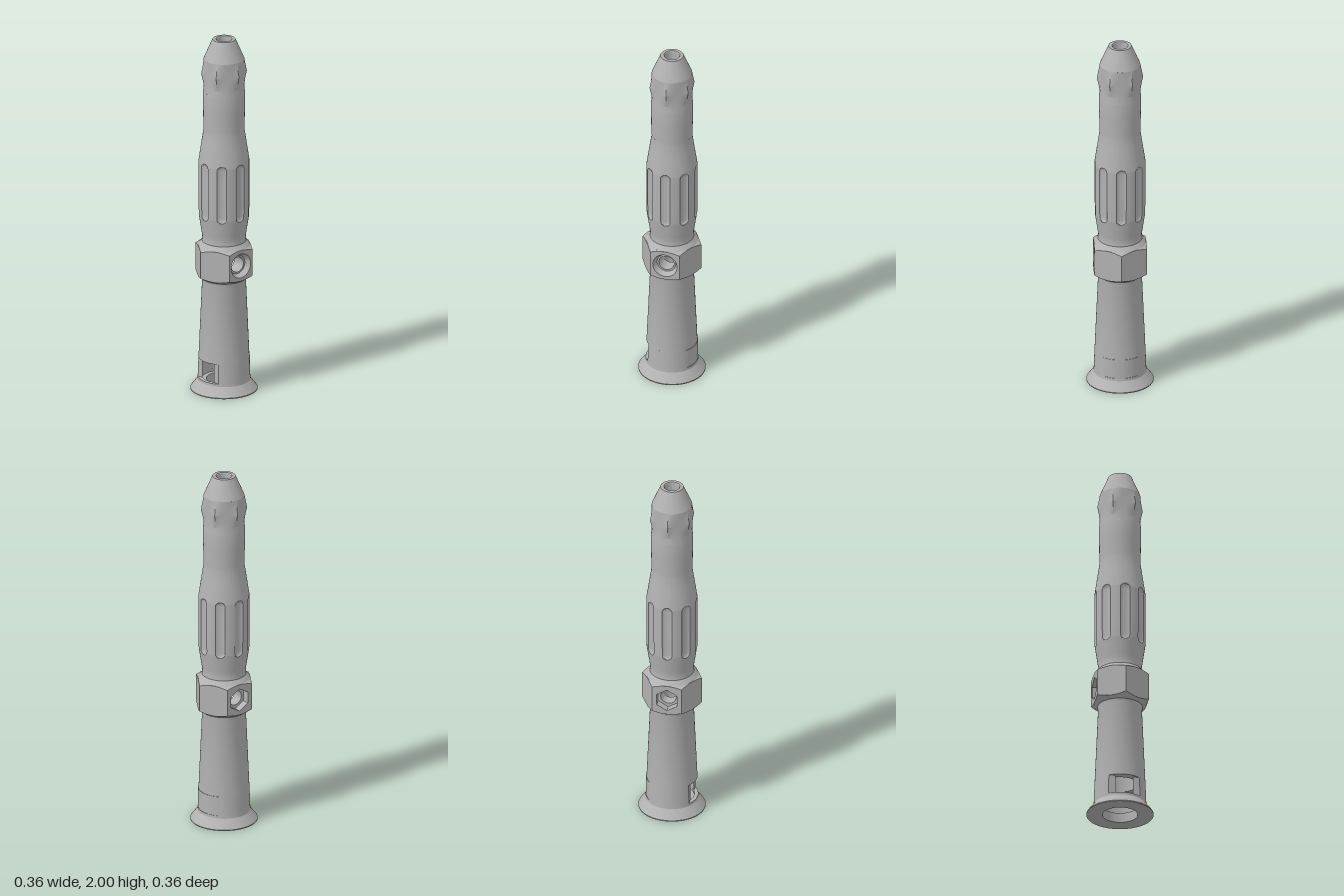
import * as THREE from 'three';
import { toCreasedNormals } from 'three/addons/utils/BufferGeometryUtils.js';

const TAU = Math.PI * 2;
const APOTHEM = 0.1415; // hex collar, flats on +-x
const BORE = 0.041;
const HOLE_Y = 0.737;

// distance from the axis to a hexagon outline with flats at 30 degrees + 60k
function hexRadius(angle, apothem) {
  const a = ((angle % (TAU / 6)) + TAU / 6) % (TAU / 6);
  return apothem / Math.cos(a - Math.PI / 6);
}

// closed band around the y axis; at(angle, row) returns [radius, y], rows run upwards
function band(angles, rows, at) {
  const pos = [], index = [], n = angles.length;
  rows.forEach(row => angles.forEach(t => {
    const [r, y] = at(t, row);
    pos.push(r * Math.sin(t), y, r * Math.cos(t));
  }));
  for (let j = 0; j < rows.length - 1; j++) {
    for (let i = 0; i < n; i++) {
      const a = j * n + i, b = j * n + (i + 1) % n;
      index.push(a, b, b + n, a, b + n, a + n);
    }
  }
  const g = new THREE.BufferGeometry();
  g.setAttribute('position', new THREE.Float32BufferAttribute(pos, 3));
  g.setIndex(index);
  return g;
}

function lathe(points, segments = 64, start = 0, length = TAU) {
  return new THREE.LatheGeometry(points.map(p => new THREE.Vector2(...p)), segments, start, length);
}

// angles made of equal sectors, each with the same offsets
function sectors(count, offsets) {
  const out = [];
  for (let k = 0; k < count; k++) offsets.forEach(o => out.push(k * TAU / count + o));
  return out;
}

export function createModel() {
  const group = new THREE.Group();
  const grey = new THREE.MeshStandardMaterial({ color: 0xb2b2b2 });
  grey.name = 'grey';
  const add = (name, geometry, crease = 0.45) => {
    const m = new THREE.Mesh(toCreasedNormals(geometry, crease), grey);
    m.name = name;
    group.add(m);
    return m;
  };

  // flared foot with a round opening
  add('foot', lathe([[0.12, 0.07], [0.12, 0.055], [0.095, 0.055], [0.095, 0], [0.181, 0],
    [0.181, 0.005], [0.1425, 0.055], [0.1415, 0.07], [0.12, 0.07]]));

  // wall around the front slot: a tapered ring cut flat at z = 0.11
  const cut = 0.11, outer = 0.1393, inner = 0.12;
  const ao = Math.asin(cut / outer), ai = Math.asin(cut / inner);
  const ring = new THREE.Shape();
  ring.absarc(0, 0, outer, Math.PI - ao, TAU + ao, false);
  ring.absarc(0, 0, inner, TAU + ai, Math.PI - ai, true);
  const wall = new THREE.ExtrudeGeometry(ring, { depth: 0.11, bevelEnabled: false, curveSegments: 48 });
  wall.scale(1, -1, 1);          // mirrored here, then turned upright
  wall.rotateX(Math.PI / 2);
  wall.scale(1, -1, 1);
  wall.translate(0, 0.18, 0);
  wall.computeBoundingBox();
  wall.translate(0, 0.07 - wall.boundingBox.min.y, 0);
  const p = wall.attributes.position;
  for (let i = 0; i < p.count; i++) {
    const x = p.getX(i), z = p.getZ(i);
    if (Math.hypot(x, z) > 0.13 && z < cut - 0.001) {
      const s = (0.1415 - (p.getY(i) - 0.07) * 0.041) / outer;
      p.setX(i, x * s);
      p.setZ(i, z * s);
    }
  }
  // the cut-out must face the front (+z)
  let frontMost = -1;
  for (let i = 0; i < p.count; i++) frontMost = Math.max(frontMost, p.getZ(i));
  if (frontMost > cut + 0.01) wall.rotateY(Math.PI);
  add('slotWall', wall).material = grey;

  // tapered lower tube with its inner chamber
  add('lowerTube', lathe([[BORE, HOLE_Y - 0.042], [BORE, 0.55], [0.095, 0.55], [0.095, 0.18],
    [0.137, 0.18], [0.118, 0.62], [0.122, 0.637], [0.14, 0.65]]));

  // hex collar: six faces, two of them pierced by the cross hole
  const bottom = 0.65, top = 0.825, bevel = 0.6;
  for (let k = 0; k < 6; k++) {
    const edge = [];
    for (let d = -30; d <= 30; d += 5) {
      const f = d * Math.PI / 180;
      edge.push([APOTHEM * Math.tan(f), (APOTHEM / Math.cos(f) - APOTHEM) * bevel]);
    }
    const pts = edge.map(([s, h]) => new THREE.Vector2(s, bottom + h));
    edge.reverse().forEach(([s, h]) => pts.push(new THREE.Vector2(s, top - h)));
    const shape = new THREE.Shape(pts);
    if (k === 1 || k === 4) {
      const n = k === 1 ? 48 : 6, r = k === 1 ? 0.068 : 0.064, hole = [];
      for (let i = 0; i < n; i++) {
        const t = Math.PI / 2 - i * TAU / n;
        hole.push(new THREE.Vector2(r * Math.cos(t), HOLE_Y + r * Math.sin(t)));
      }
      shape.holes.push(new THREE.Path(hole));
    }
    const face = new THREE.ShapeGeometry(shape);
    face.translate(0, 0, APOTHEM);
    face.rotateY(Math.PI / 6 + k * TAU / 6);
    add('collarFace', face);
  }
  const hexAngles = sectors(6, Array.from({ length: 12 }, (_, i) => i * Math.PI / 36));
  const rise = t => (hexRadius(t, APOTHEM) - APOTHEM) * bevel;
  add('collarLowerChamfer', band(hexAngles, [0, 1], (t, row) =>
    row ? [hexRadius(t, APOTHEM), bottom + rise(t)] : [0.14, bottom]));
  add('collarUpperChamfer', band(hexAngles, [0, 1], (t, row) =>
    row ? [0.14, top] : [hexRadius(t, APOTHEM), top - rise(t)]));

  // cross hole: countersunk on the left, hex pocket on the right
  const sink = add('countersink', lathe([[0.068, APOTHEM], [0.052, 0.112], [0.042, 0.112], [0.042, 0.036]], 48));
  const pocket = add('hexPocket', lathe([[0.064, APOTHEM], [0.064, 0.1]], 6, Math.PI / 6));
  const seat = add('pocketFloor', lathe([[0.064, 0.1], [0.042, 0.1], [0.042, 0.036]], 48));
  sink.rotation.z = -Math.PI / 2;
  pocket.rotation.z = seat.rotation.z = Math.PI / 2;
  [sink, pocket, seat].forEach(m => { m.position.y = HOLE_Y; });
  for (const t of [-0.6, Math.PI - 0.6]) {
    add('boreSide', lathe([[BORE, HOLE_Y + 0.042], [BORE, HOLE_Y - 0.042]], 12, t, 1.2));
  }

  // swelling grip with eight round-ended flutes
  const outline = [[0.825, 0.14], [0.85, 0.119], [0.875, 0.117], [1.0, 0.136], [1.08, 0.138],
    [1.3, 0.138], [1.48, 0.111], [1.5, 0.111]];
  const gripRadius = y => {
    let i = 0;
    while (i < outline.length - 2 && y > outline[i + 1][0]) i++;
    const [y0, r0] = outline[i], [y1, r1] = outline[i + 1];
    return r0 + (r1 - r0) * (y - y0) / (y1 - y0);
  };
  const flute = (t, y) => {
    const a = t - Math.round(t / (TAU / 8)) * TAU / 8;
    const d = Math.hypot(a * 0.138, y - Math.min(Math.max(y, 1.015), 1.285)) / 0.0265;
    return d < 1 ? 0.011 * Math.sqrt(1 - d * d) : 0;
  };
  const rows = [0.825, 0.84, 0.85, 0.862, 0.875, 0.9, 0.94, 0.97];
  for (let i = 0; i <= 9; i++) rows.push(0.983 + i * 0.004);
  rows.push(1.08, 1.15, 1.22);
  for (let i = 0; i <= 9; i++) rows.push(1.281 + i * 0.004);
  rows.push(1.36, 1.42, 1.48, 1.5);
  const half = [0.05, 0.1, 0.14, 0.17, 0.185, 0.192, 0.25, 0.32];
  const offsets = [...half.map(v => -v).reverse(), 0, ...half, Math.PI / 8];
  add('flutedGrip', band(sectors(8, offsets), rows, (t, y) => [gripRadius(y) - flute(t, y), y]));

  // neck
  add('neck', lathe([[0.111, 1.5], [0.112, 1.6], [0.114, 1.69], [0.112, 1.705]]));

  // crown swelling to six points
  const crown = [[1.705, 0.112, 0], [1.735, 0.109, 0], [1.775, 0.109, 0.5], [1.81, 0.109, 1],
    [1.85, 0.109, 0.5], [1.89, 0.109, 0]];
  const crownAngles = hexAngles.map(t => t + Math.PI / 6);
  add('crown', band(crownAngles, crown, (t, [y, r, k]) =>
    [r + (hexRadius(t - Math.PI / 6, 0.108) - r) * k, y]), 0.2);

  // conical nose and the long bore
  add('noseAndBore', lathe([[0.109, 1.89], [0.062, 2], [0.044, 2], [BORE, 1.995], [BORE, HOLE_Y + 0.042]]));
  return group;
}
